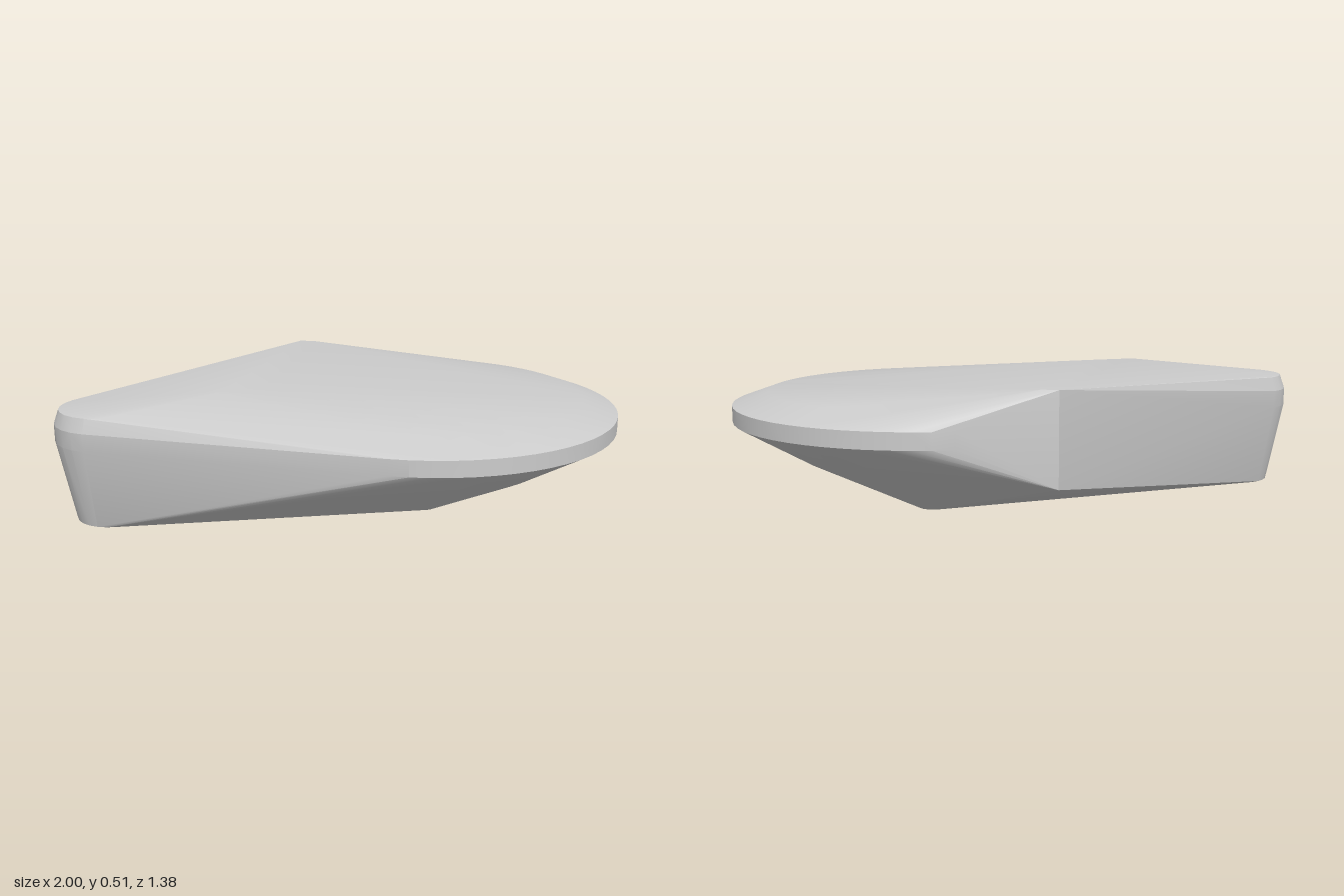
import * as THREE from 'three';
import { ConvexGeometry } from 'three/addons/geometries/ConvexGeometry.js';
import { toCreasedNormals } from 'three/addons/utils/BufferGeometryUtils.js';

// Horizontal circle of points around (cx, y, 0)
function ring(cx, y, radius, count) {
  return Array.from({ length: count }, (_, i) => {
    const a = (i / count) * Math.PI * 2;
    return new THREE.Vector3(cx + radius * Math.cos(a), y, radius * Math.sin(a));
  });
}

export function createModel() {
  const group = new THREE.Group();
  group.name = 'taperedShell';

  const points = [
    // round end: bottom tip, bilge, rim band and bevelled top
    ...ring(0.31, 0, 0.06, 24),
    ...ring(0.31, 0.2, 0.455, 64),
    ...ring(0.31, 0.34, 0.69, 64),
    ...ring(0.31, 0.395, 0.69, 64),
    ...ring(0.31, 0.437, 0.57, 64),
    // narrow end: foot, side and rounded top
    ...ring(-0.82, 0.068, 0.125, 24),
    ...ring(-0.82, 0.35, 0.18, 24),
    ...ring(-0.82, 0.41, 0.18, 24),
    ...ring(-0.82, 0.458, 0.163, 24),
    // upright back corner
    new THREE.Vector3(0, 0.207, -0.69),
    new THREE.Vector3(0, 0.51, -0.69),
    new THREE.Vector3(0.05, 0.51, -0.67),
    // top ridge
    new THREE.Vector3(-0.45, 0.51, 0.1),
    new THREE.Vector3(-0.3, 0.51, 0.08),
  ];

  // One taut skin over all the sections, with sharp edges kept
  const geometry = toCreasedNormals(new ConvexGeometry(points), 0.3);
  const shell = new THREE.Mesh(geometry, new THREE.MeshStandardMaterial({ color: 0xcccccc }));
  shell.name = 'shell';
  group.add(shell);
  return group;
}
